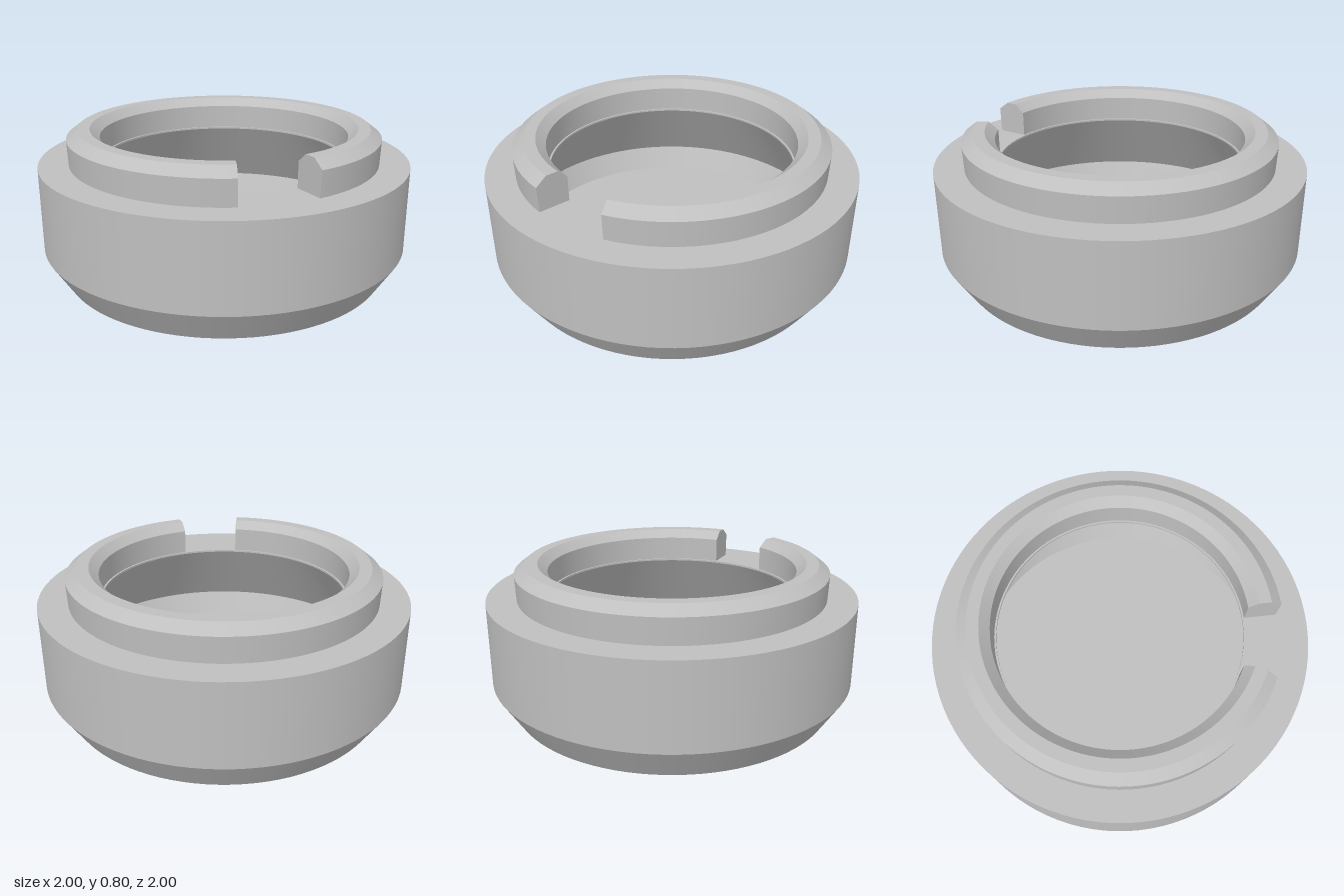
import * as THREE from 'three';
import { mergeGeometries } from 'three/addons/utils/BufferGeometryUtils.js';

const SEGMENTS = 96;

// Revolves each profile segment on its own so the edges between them stay sharp
function sharpLathe(profile, start = 0, length = Math.PI * 2) {
  const bands = [];
  for (let i = 0; i < profile.length - 1; i++) {
    const pair = [profile[i], profile[i + 1]].map(([r, y]) => new THREE.Vector2(r, y));
    bands.push(new THREE.LatheGeometry(pair, SEGMENTS, start, length));
  }
  return mergeGeometries(bands);
}

export function createModel() {
  const group = new THREE.Group();
  const grey = new THREE.MeshStandardMaterial({ color: 0xbfbfbf, side: THREE.DoubleSide });
  grey.name = 'grey';

  const add = (name, geometry) => {
    const mesh = new THREE.Mesh(geometry, grey);
    mesh.name = name;
    group.add(mesh);
    return mesh;
  };

  // Hollow body: chamfered foot, straight wall, flat shoulder, undercut cavity
  add('body', sharpLathe([
    [0, 0], [0.895, 0], [1, 0.17], [1, 0.62],
    [0.66, 0.62], [0.66, 0.61],
    [0.9, 0.235], [0.84, 0.105], [0, 0.105],
  ]));

  // Raised collar with chamfered top, open at a gap near the front
  const collar = [
    [0.84, 0.62], [0.845, 0.755], [0.785, 0.8],
    [0.72, 0.8], [0.67, 0.755], [0.67, 0.62],
  ];
  const start = THREE.MathUtils.degToRad(-7.5);
  const end = THREE.MathUtils.degToRad(325.2);
  add('collar', sharpLathe(collar, start, end - start));

  // Flat end faces of the collar
  const section = new THREE.Shape(collar.map(([r, y]) => new THREE.Vector2(r, y)));
  for (const [name, angle] of [['collarEndLeft', start], ['collarEndRight', end]]) {
    add(name, new THREE.ShapeGeometry(section)).rotation.y = angle - Math.PI / 2;
  }

  return group;
}
